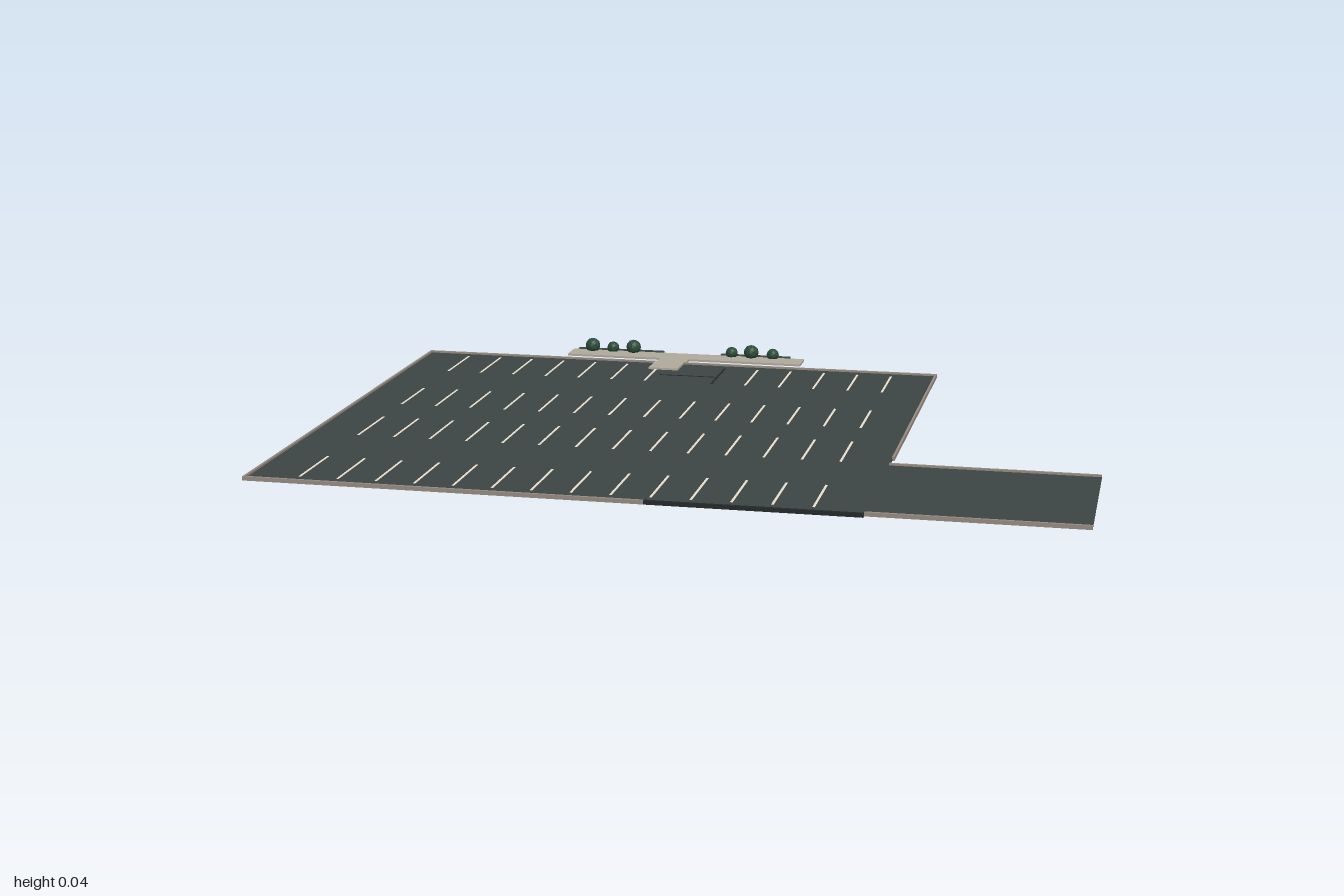
import * as THREE from 'three';

const mat = (name, color, extra = {}) => {
  const m = new THREE.MeshStandardMaterial({ color, ...extra });
  m.name = name;
  return m;
};

export function createModel() {
  const model = new THREE.Group();
  model.name = 'parkingLot';
  const asphalt = mat('asphalt', 0x3d4444);
  const dark = mat('darkAsphalt', 0x242929);
  const curbTan = mat('curbStone', 0x968b81);
  const concrete = mat('concrete', 0xb0aa9c);
  const paint = mat('linePaint', 0xf0e8d6);
  const leaf = mat('foliage', 0x2a4a37, { flatShading: true });

  // Box given by its extents
  const slab = (name, m, x0, x1, y0, y1, z0, z1, parent = model) => {
    const mesh = new THREE.Mesh(new THREE.BoxGeometry(x1 - x0, y1 - y0, z1 - z0), m);
    mesh.position.set((x0 + x1) / 2, (y0 + y1) / 2, (z0 + z1) / 2);
    mesh.name = name;
    parent.add(mesh);
  };

  // Paved areas
  slab('lotSurface', asphalt, -0.995, 0.49, 0.004, 0.009, -0.615, 0.762);
  slab('driveway', asphalt, 0.49, 1, 0.004, 0.009, 0.335, 0.755);

  // Curbs around the edges
  const curbs = new THREE.Group();
  curbs.name = 'curbs';
  model.add(curbs);
  const curb = (x0, x1, z0, z1, m = curbTan) => slab('curb', m, x0, x1, 0.004, 0.014, z0, z1, curbs);
  curb(-1, -0.994, -0.622, 0.768);
  curb(-0.994, 0.495, -0.622, -0.614);
  curb(0.489, 0.495, -0.614, 0.28);
  curb(-0.994, -0.02, 0.761, 0.768);
  curb(-0.02, 0.49, 0.761, 0.768, dark);
  curb(0.49, 1, 0.332, 0.339);
  curb(0.49, 1, 0.750, 0.757);

  // Four rows of bay lines
  const lines = new THREE.Group();
  lines.name = 'bayLines';
  model.add(lines);
  [[-0.585, -0.395], [-0.185, 0], [0.14, 0.33], [0.54, 0.725]].forEach(([z0, z1], row) => {
    for (let i = 0; i < 14; i++) {
      if (row === 0 && (i === 7 || i === 8)) continue; // entrance gap
      const x = -0.872 + i * 0.0955;
      slab('bayLine', paint, x - 0.003, x + 0.003, 0.009, 0.0098, z0, z1, lines);
    }
  });

  // Dark seams beside the entrance
  slab('entranceSeam', dark, -0.111, -0.105, 0.009, 0.0098, -0.585, -0.395);
  slab('entranceSeam', dark, -0.275, -0.111, 0.009, 0.0098, -0.478, -0.472);

  // T-shaped footpath, stepping up onto the lot
  slab('footpath', concrete, -0.6, 0.092, 0.002, 0.008, -0.755, -0.685);
  slab('footpathStem', concrete, -0.32, -0.235, 0.003, 0.009, -0.685, -0.622);
  slab('footpathLanding', concrete, -0.32, -0.235, 0.003, 0.0145, -0.622, -0.535);

  // Planting strips with round shrubs
  for (const [x0, x1] of [[-0.588, -0.33], [-0.157, 0.048]]) {
    slab('plantingStrip', asphalt, x0, x1, 0.004, 0.009, -0.775, -0.755);
  }
  [[-0.541, 0.022], [-0.479, 0.018], [-0.417, 0.022],
    [-0.122, 0.018], [-0.064, 0.022], [0.0, 0.018]].forEach(([x, r]) => {
    const shrub = new THREE.Mesh(new THREE.IcosahedronGeometry(r, 1), leaf);
    shrub.position.set(x, r, -0.75);
    shrub.name = 'shrub';
    model.add(shrub);
  });
  return model;
}
